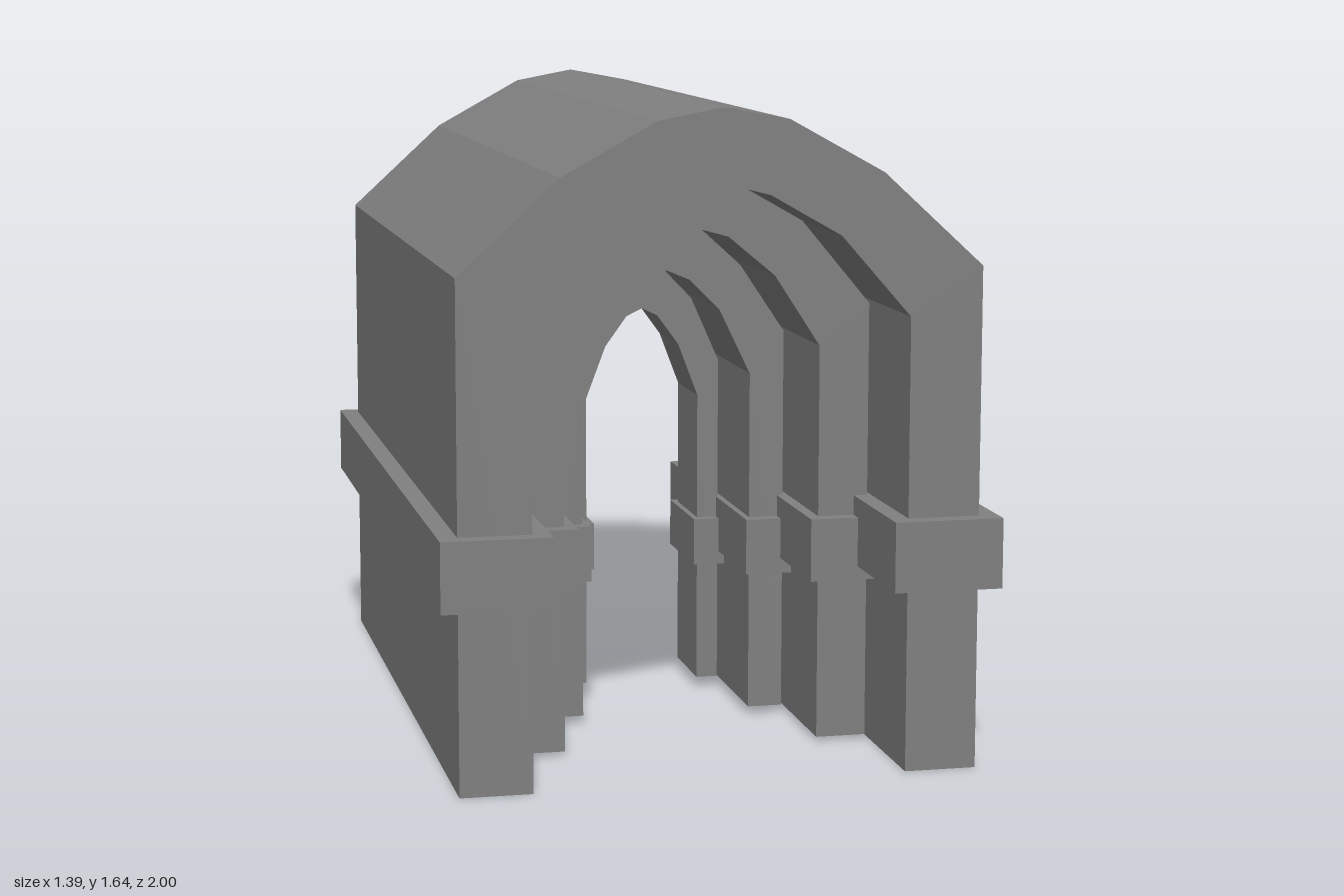
import * as THREE from 'three';

// Each nested arch: half outlines from springing to crown, z range, base height, collar box
const ARCHES = [
  { name: 'outerArch', base: 0, z: [-0.955, 0.955], lip: 0.045,
    outer: [[0.645, 1.25], [0.395, 1.48], [0.16, 1.61]], top: 1.64,
    inner: [[0.465, 1.13], [0.29, 1.33], [0.115, 1.43]], crown: 1.46,
    collarX: [0.42, 0.693], collarY: [0.46, 0.635] },
  { name: 'secondArch', base: 0.01, z: [-0.71, 0.635], lip: 0.04,
    outer: [[0.455, 1.125], [0.28, 1.335], [0.11, 1.44]], top: 1.47,
    inner: [[0.327, 1.02], [0.21, 1.2], [0.09, 1.3]], crown: 1.325,
    collarX: [0.298, 0.49], collarY: [0.425, 0.585] },
  { name: 'thirdArch', base: 0.02, z: [-0.48, 0.34], lip: 0.035,
    outer: [[0.312, 1.02], [0.195, 1.195], [0.08, 1.3]], top: 1.33,
    inner: [[0.222, 0.91], [0.14, 1.08], [0.06, 1.16]], crown: 1.185,
    collarX: [0.206, 0.34], collarY: [0.385, 0.53] },
  { name: 'innerArch', base: 0.03, z: [-0.19, 0.04], lip: 0.03,
    outer: [[0.21, 0.905], [0.135, 1.075], [0.058, 1.155]], top: 1.175,
    inner: [[0.153, 0.81], [0.1, 0.95], [0.042, 1.03]], crown: 1.05,
    collarX: [0.138, 0.23], collarY: [0.35, 0.475] },
];

// Full mirrored outline from right foot over the crown to the left foot
function outline(half, crown, base) {
  const right = [[half[0][0], base], ...half];
  const left = right.map(([x, y]) => [-x, y]).reverse();
  return [...right, [0, crown], ...left].map(([x, y]) => new THREE.Vector2(x, y));
}

export function createModel() {
  const model = new THREE.Group();
  const stone = new THREE.MeshStandardMaterial({ color: 0x808080 });
  stone.name = 'grey stone';

  for (const a of ARCHES) {
    const group = new THREE.Group();
    group.name = a.name;
    const [z0, z1] = a.z;

    // Vault with its two walls, open at the bottom
    const shape = new THREE.Shape([
      ...outline(a.outer, a.top, a.base),
      ...outline(a.inner, a.crown, a.base).reverse(),
    ]);
    const vault = new THREE.Mesh(
      new THREE.ExtrudeGeometry(shape, { depth: z1 - z0, bevelEnabled: false }), stone);
    vault.position.z = z0;
    vault.name = 'vault';
    group.add(vault);

    // Collar band round each wall
    const [x0, x1] = a.collarX, [y0, y1] = a.collarY;
    for (const side of [1, -1]) {
      const collar = new THREE.Mesh(
        new THREE.BoxGeometry(x1 - x0, y1 - y0, z1 - z0 + 2 * a.lip), stone);
      collar.position.set(side * (x0 + x1) / 2, (y0 + y1) / 2, (z0 + z1) / 2);
      collar.name = side > 0 ? 'leftCollar' : 'rightCollar';
      group.add(collar);
    }
    model.add(group);
  }
  return model;
}
